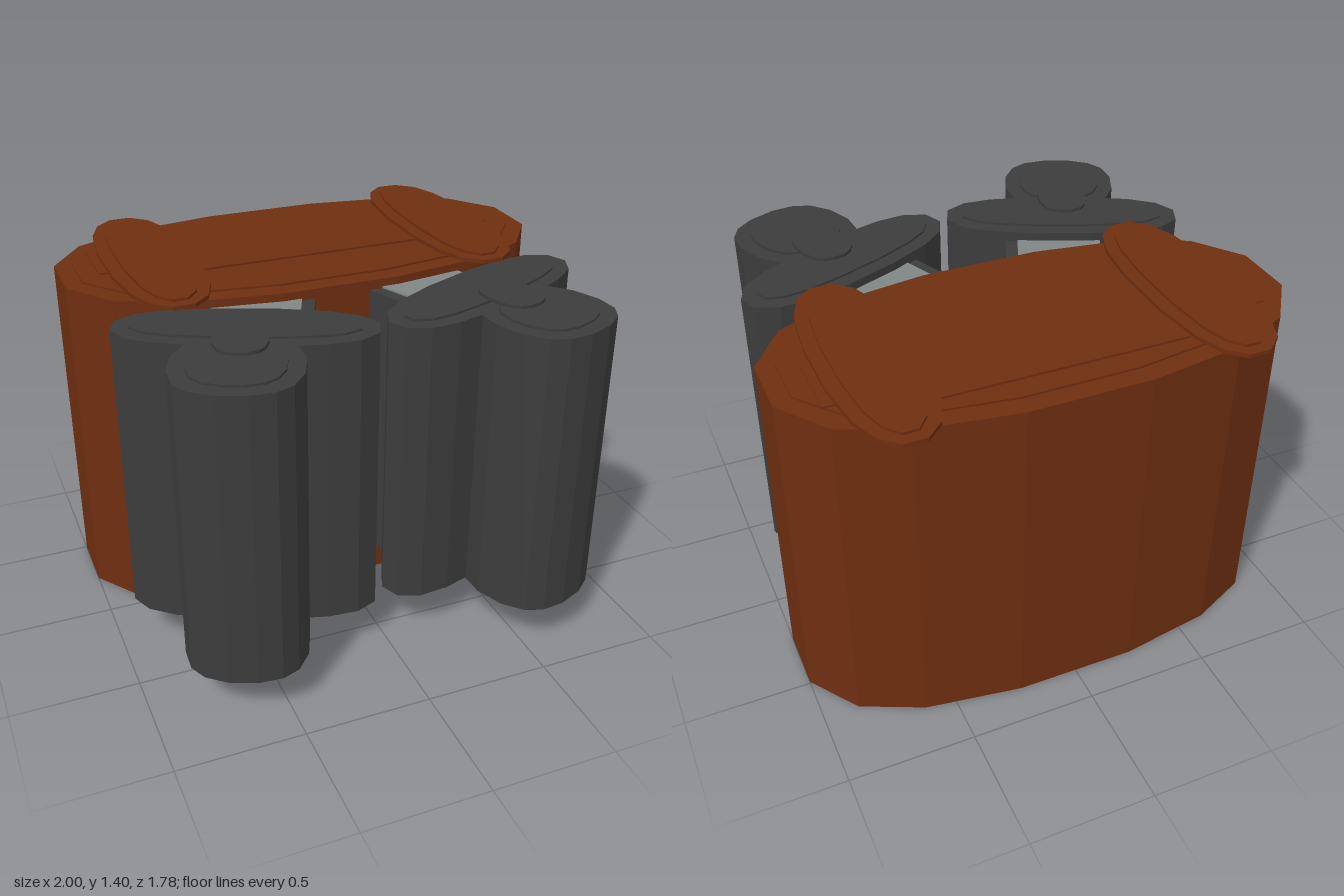
import * as THREE from 'three';

const material = (name, color) => {
  const m = new THREE.MeshStandardMaterial({ color });
  m.name = name;
  return m;
};

// Sixteen-sided rounded oval: unit corner points of one quadrant
const QUADRANT = [[1, 0.257], [0.86, 0.657], [0.62, 0.88], [0.24, 1]];

function oval(a, b) {
  const q = QUADRANT.map(([x, y]) => [x * a, y * b]);
  const r = [...q].reverse();
  const points = [
    ...q,
    ...r.map(([x, y]) => [-x, y]),
    ...q.map(([x, y]) => [-x, -y]),
    ...r.map(([x, y]) => [x, -y]),
  ];
  return new THREE.Shape(points.map(([x, y]) => new THREE.Vector2(x, y)));
}

export function createModel() {
  const model = new THREE.Group();
  const brown = material('brown', 0x6e2e10);
  const charcoal = material('charcoal', 0x3c3c3c);
  const grey = material('grey', 0x7f8685);

  // Upright prism with an oval footprint
  function prism(parent, name, mat, a, b, y0, y1, x = 0, z = 0, turn = 0) {
    const geo = new THREE.ExtrudeGeometry(oval(a, b), { depth: y1 - y0, bevelEnabled: false });
    geo.rotateX(-Math.PI / 2);
    const mesh = new THREE.Mesh(geo, mat);
    mesh.name = name;
    mesh.position.set(x, y0, z);
    mesh.rotation.y = turn;
    parent.add(mesh);
  }

  function box(parent, name, mat, w, d, y0, y1, x = 0, z = 0) {
    const mesh = new THREE.Mesh(new THREE.BoxGeometry(w, y1 - y0, d), mat);
    mesh.name = name;
    mesh.position.set(x, (y0 + y1) / 2, z);
    parent.add(mesh);
  }

  // Large brown body with raised layers on its top
  const body = new THREE.Group();
  body.name = 'body';
  body.position.z = -0.367;
  model.add(body);
  prism(body, 'bodyShell', brown, 1, 0.487, 0, 1.36);
  prism(body, 'topLayer', brown, 0.93, 0.41, 1.36, 1.368);
  box(body, 'endTabs', brown, 1.71, 0.27, 1.368, 1.374, 0, -0.078);
  box(body, 'centrePanel', brown, 0.96, 0.48, 1.368, 1.376, 0, -0.078);

  for (const s of [-1, 1]) {
    // Oval straps lying across the top, overhanging front and back
    prism(body, 'strap', brown, 0.18, 0.52, 1.372, 1.388, s * 0.64);
    prism(body, 'strapRidge', brown, 0.125, 0.475, 1.388, 1.398, s * 0.64);

    // Charcoal cluster angled in front of the body
    const side = new THREE.Group();
    side.name = s > 0 ? 'leftCluster' : 'rightCluster';
    model.add(side);
    const turn = s * 0.4;
    prism(side, 'longColumn', charcoal, 0.48, 0.165, 0.19, 1.362, s * 0.475, 0.365, turn);
    prism(side, 'longColumnCap', charcoal, 0.415, 0.105, 1.362, 1.371, s * 0.475, 0.365, turn);
    prism(side, 'roundColumn', charcoal, 0.232, 0.228, 0.19, 1.362, s * 0.6, 0.65, turn);
    prism(side, 'roundColumnCap', charcoal, 0.17, 0.168, 1.362, 1.371, s * 0.6, 0.65, turn);
    prism(side, 'knob', charcoal, 0.1, 0.13, 1.371, 1.384, s * 0.535, 0.485, turn * 0.7);

    // Connector reaching from the cluster into the body, with a grey top
    const connector = new THREE.Group();
    connector.name = 'connector';
    connector.position.set(s * 0.343, 0, 0.161);
    connector.rotation.y = turn;
    side.add(connector);
    box(connector, 'connectorBlock', charcoal, 0.39, 0.55, 0.15, 1.32);
    box(connector, 'connectorTop', grey, 0.34, 0.55, 1.32, 1.328, s * 0.025);
  }
  return model;
}
